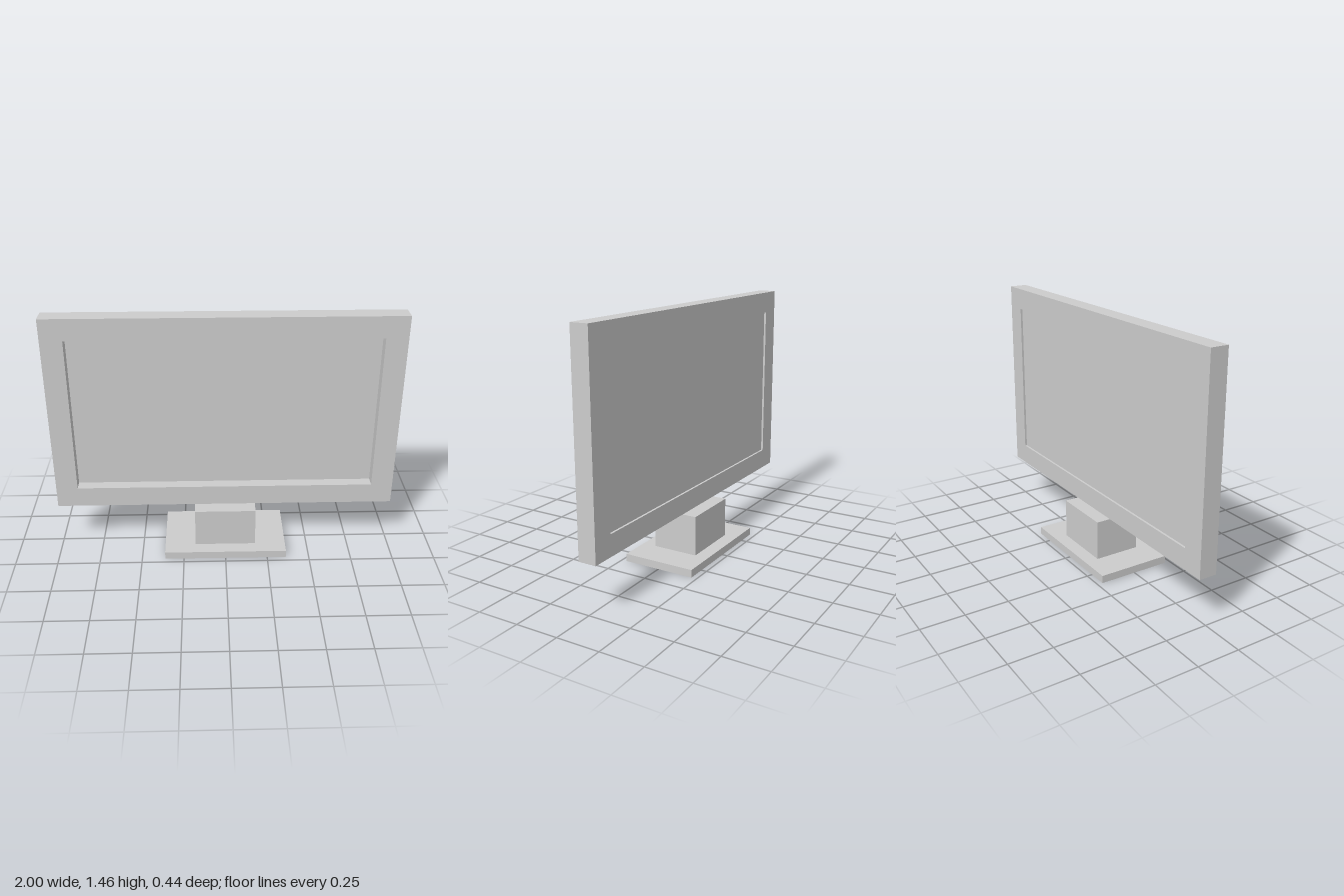
import * as THREE from 'three';

// Flat screen in a deep frame, standing on a block neck and a slab foot.
export function createModel() {
  const model = new THREE.Group();
  model.name = 'screenOnStand';

  const grey = new THREE.MeshStandardMaterial({ color: 0xcccccc });
  grey.name = 'light grey';

  const add = (name, geometry, x, y, z) => {
    const mesh = new THREE.Mesh(geometry, grey);
    mesh.name = name;
    mesh.position.set(x, y, z);
    model.add(mesh);
  };
  // Box standing on height y0 and reaching y1, centred on x
  const addBox = (name, width, y0, y1, depth, z = 0) =>
    add(name, new THREE.BoxGeometry(width, y1 - y0, depth), 0, (y0 + y1) / 2, z);

  // Rectangle traced through its corners
  const trace = (path, halfWidth, y0, y1) => {
    path.moveTo(-halfWidth, y0);
    path.lineTo(halfWidth, y0);
    path.lineTo(halfWidth, y1);
    path.lineTo(-halfWidth, y1);
    path.closePath();
    return path;
  };

  // Stand
  addBox('foot', 0.724, 0, 0.045, 0.436);
  addBox('neck', 0.36, 0.045, 0.28, 0.274);

  // Frame with an opening right through it
  const outline = trace(new THREE.Shape(), 1, 0.28, 1.462);
  outline.holes.push(trace(new THREE.Path(), 0.874, 0.402, 1.335));
  const frameDepth = 0.105;
  add('frame', new THREE.ExtrudeGeometry(outline, { depth: frameDepth, bevelEnabled: false }),
    0, 0, -frameDepth / 2);

  // Screen panel, set deep from the front and shallow from the back
  addBox('screen', 1.748, 0.402, 1.335, 0.027, -0.0265);

  return model;
}
